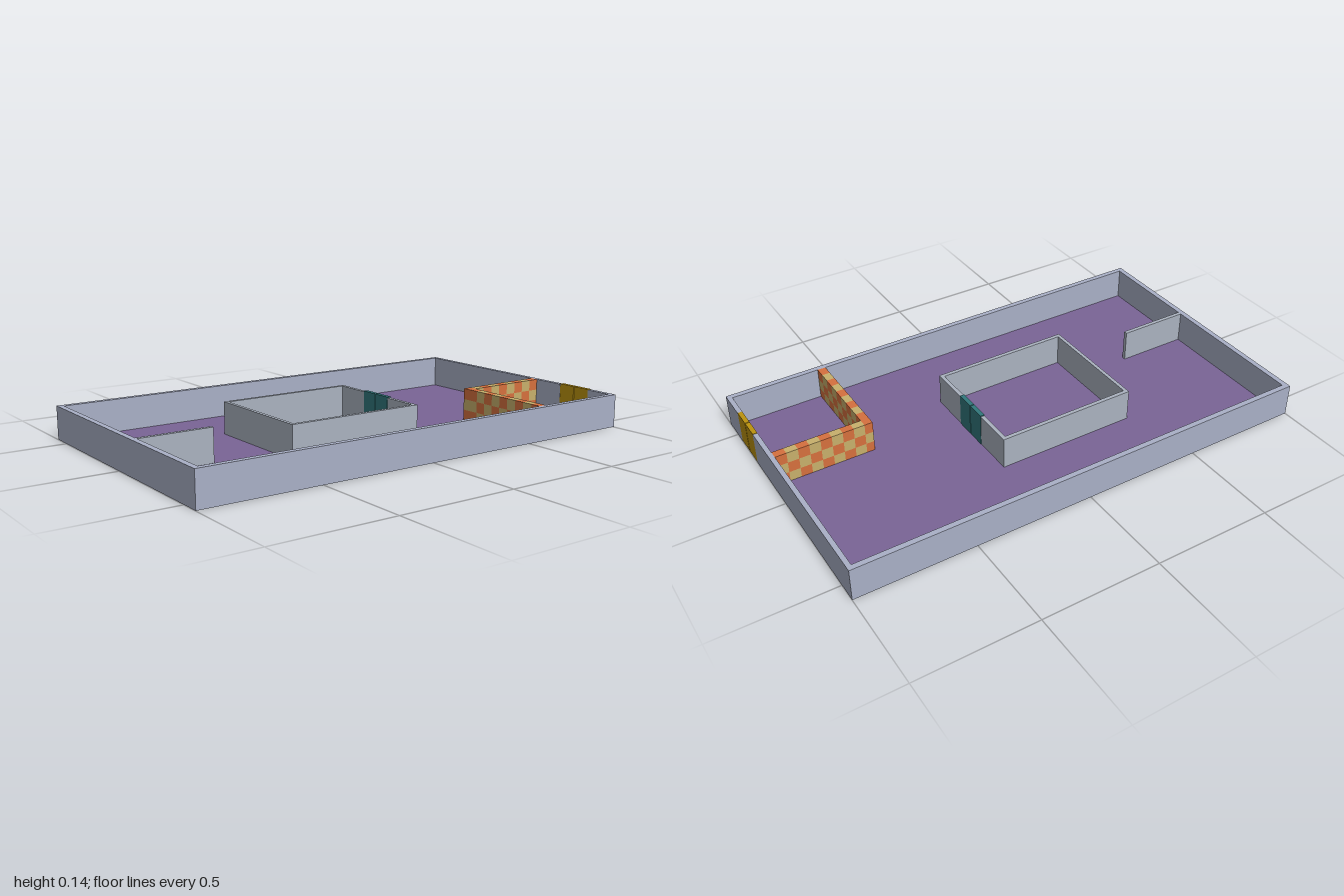
import * as THREE from 'three';
import { mergeGeometries } from 'three/addons/utils/BufferGeometryUtils.js';

const material = (name, color) => new THREE.MeshStandardMaterial({ name, color });

// Box from its minimum and maximum corners
function span(x0, x1, y0, y1, z0, z1) {
  return new THREE.BoxGeometry(x1 - x0, y1 - y0, z1 - z0)
    .translate((x0 + x1) / 2, (y0 + y1) / 2, (z0 + z1) / 2);
}

export function createModel() {
  const group = new THREE.Group();
  const outerGrey = material('blue grey', 0xa9b0c6);
  const innerGrey = material('pale grey', 0xaab2bf);
  const purple = material('purple', 0x7a6496);
  const gold = material('gold', 0xbc930e);
  const teal = material('teal', 0x32787c);
  const orange = material('orange', 0xd6703e);
  const sand = material('sand', 0xc8b06c);

  const add = (name, geometries, mat) => {
    const mesh = new THREE.Mesh(mergeGeometries(geometries), mat);
    mesh.name = name;
    group.add(mesh);
  };

  const base = 0.001, top = 0.141;

  // Floor
  add('floor', [span(-0.562, 0.562, 0.002, 0.004, -0.98, 0.98)], purple);

  // Outer walls, with a doorway at the back
  add('outerWalls', [
    span(-0.583, -0.56, base, top, -1, 1),
    span(0.56, 0.583, base, top, -1, 1),
    span(-0.56, 0.56, base, top, 0.977, 1),
    span(-0.56, 0.287, base, top, -1, -0.98),
    span(0.447, 0.56, base, top, -1, -0.98),
  ], outerGrey);

  // Inner room, with a doorway in its back wall
  add('innerRoom', [
    span(-0.26, -0.243, base, top, -0.19, 0.413),
    span(0.235, 0.252, base, top, -0.19, 0.413),
    span(-0.243, 0.235, base, top, 0.398, 0.413),
    span(-0.243, -0.085, base, top, -0.19, -0.174),
    span(0.075, 0.235, base, top, -0.19, -0.174),
  ], innerGrey);

  // Short partition from the front wall
  add('partition', [span(0.097, 0.114, base, top, 0.67, 0.977)], innerGrey);

  // Double doors: two leaves with a narrow gap
  function doubleDoor(name, x0, x1, z0, z1, height, mat) {
    const mid = (x0 + x1) / 2;
    add(name, [
      span(x0, mid - 0.002, 0.004, height, z0, z1),
      span(mid + 0.002, x1, 0.004, height, z0, z1),
    ], mat);
  }
  doubleDoor('innerDoor', -0.086, 0.076, -0.192, -0.173, 0.145, teal);
  doubleDoor('backDoor', 0.286, 0.448, -1, -0.981, 0.143, gold);

  // Chequered corner walls, three courses high
  const courses = 3, step = 0.141 / courses;
  const blocks = [[], []];
  for (let row = 0; row < courses; row++) {
    const y0 = row * step, y1 = y0 + step;
    for (let i = 0; i < 9; i++) {
      const x1 = 0.56 - i * 0.046;
      // the last block also forms the corner
      const x0 = i === 8 ? 0.11 : x1 - 0.046;
      blocks[(i + row) % 2].push(span(x0, x1, y0, y1, -0.605, -0.57));
    }
    for (let i = 0; i < 8; i++) {
      const z1 = -0.605 - i * 0.0469;
      blocks[(i + 1 + row) % 2].push(span(0.11, 0.145, y0, y1, z1 - 0.0469, z1));
    }
  }
  add('chequeredWallOrangeBlocks', blocks[0], orange);
  add('chequeredWallSandBlocks', blocks[1], sand);

  return group;
}
